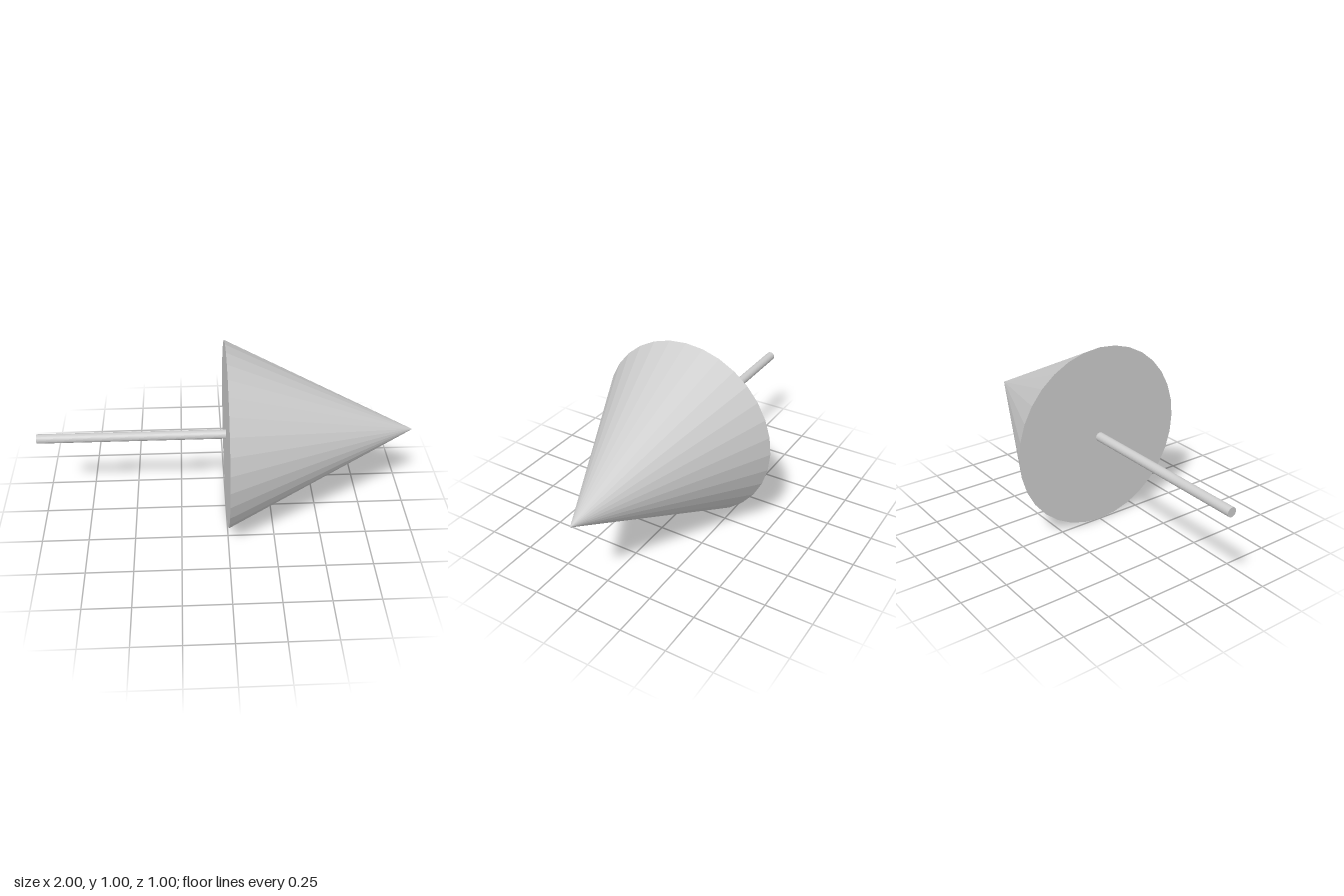
import * as THREE from 'three';

const SIDES = 32;

// Solid of revolution lying along +x, from x0 to x1
function axial(name, rStart, rEnd, x0, x1, material) {
  const geometry = new THREE.CylinderGeometry(rEnd, rStart, x1 - x0, SIDES);
  geometry.rotateZ(-Math.PI / 2);
  const mesh = new THREE.Mesh(geometry, material);
  mesh.name = name;
  mesh.position.set((x0 + x1) / 2, 0.5, 0);
  return mesh;
}

export function createModel() {
  const group = new THREE.Group();
  group.name = 'arrow';
  const material = new THREE.MeshStandardMaterial({ color: 0xcccccc, flatShading: true });

  // Thin rod ending at the centre of the cone's base
  group.add(axial('shaft', 0.025, 0.025, -1, 0, material));
  // Faceted cone pointing to +x
  group.add(axial('head', 0.5, 0, 0, 1, material));

  return group;
}
